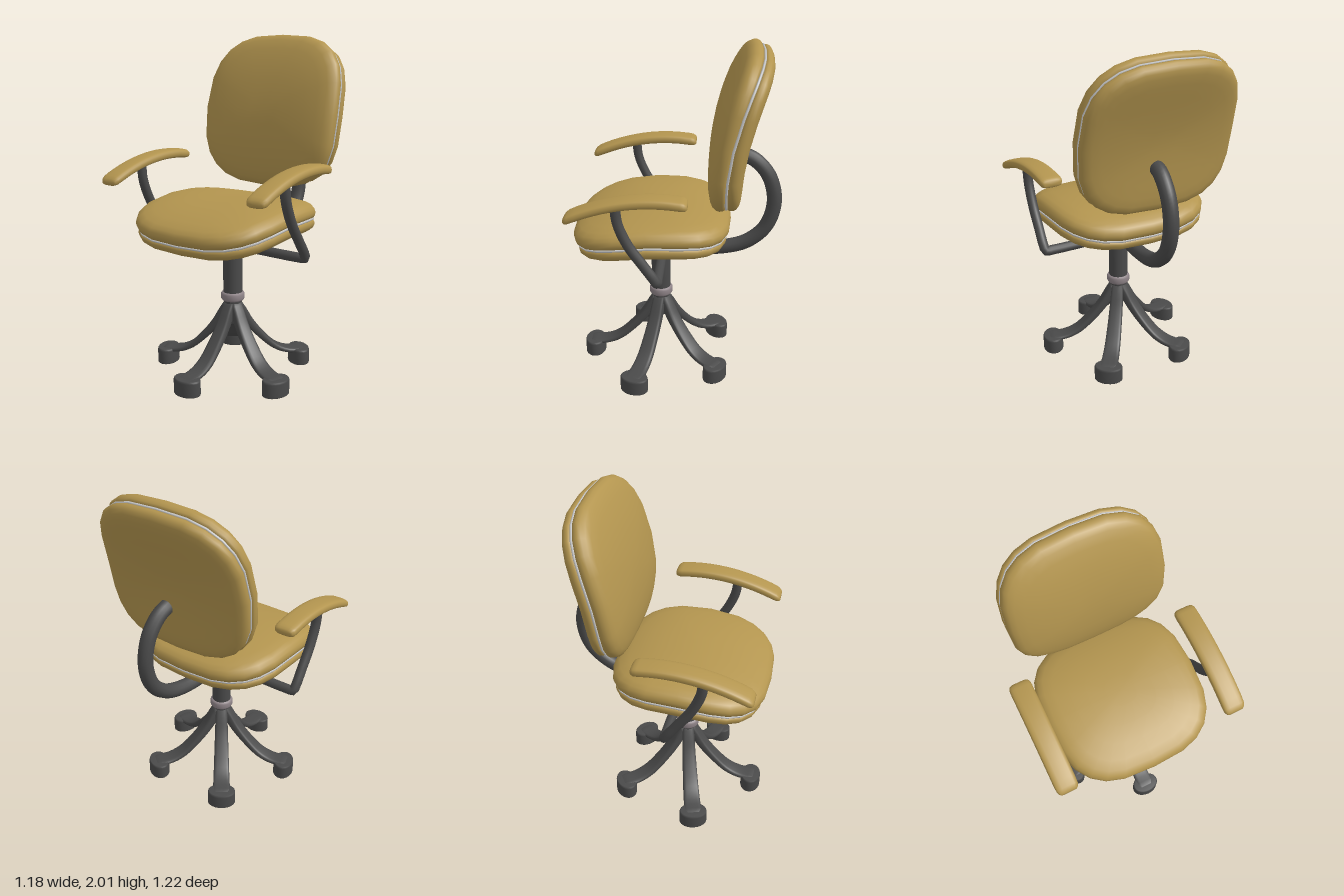
import * as THREE from 'three';

const fabric = new THREE.MeshStandardMaterial({ color: 0xb3954f });
const metal = new THREE.MeshStandardMaterial({ color: 0x4a4a4a });
const collarGrey = new THREE.MeshStandardMaterial({ color: 0x8f8488 });
const pipingGrey = new THREE.MeshStandardMaterial({ color: 0xcccccc });

const V = (x, y, z) => new THREE.Vector3(x, y, z);

function part(name, geometry, material) {
  const mesh = new THREE.Mesh(geometry, material);
  mesh.name = name;
  return mesh;
}

// Closed outline with rounded corners, counter-clockwise
function roundedOutline(halfW, halfH, power, count) {
  const bend = (t) => Math.sign(t) * Math.abs(t) ** (2 / power);
  return Array.from({ length: count }, (_, i) => {
    const a = (i / count) * Math.PI * 2;
    return [halfW * bend(Math.cos(a)), halfH * bend(Math.sin(a))];
  });
}

// Skin through rings of points, capped at both ends
function loft(rings) {
  const n = rings[0].length;
  const last = rings.length - 1;
  const mean = (ring) => ring.reduce((sum, p) => sum.add(p), V(0, 0, 0)).divideScalar(n);
  const points = [...rings.flat(), mean(rings[0]), mean(rings[last])];
  const index = [];
  for (let j = 0; j < n; j++) {
    const k = (j + 1) % n;
    for (let i = 0; i < last; i++) {
      const a = i * n + j, b = i * n + k, c = b + n, d = a + n;
      index.push(a, b, c, a, c, d);
    }
    index.push(points.length - 2, k, j, points.length - 1, last * n + j, last * n + k);
  }
  const geometry = new THREE.BufferGeometry().setFromPoints(points);
  geometry.setIndex(index);
  geometry.computeVertexNormals();
  return geometry;
}

// Cushion layer: rings of [scale, height] wrapped over a parabolic bend
function cushionLayer(profile, centreV, halfV) {
  const k = 0.36;
  const outline = roundedOutline(0.475, halfV, 3, 24);
  return loft(profile.map(([s, h]) => outline.map(([u, w]) => {
    const v = centreV + w * s;
    const normal = V(0, 2 * k * v, 1).normalize();
    return V(u * s + 0.005, v, -k * v * v).addScaledVector(normal, h);
  })));
}

const FRONT_HALF = [[0.95, 0.005], [0.985, 0.008], [0.998, 0.022], [1, 0.04], [0.985, 0.06],
  [0.95, 0.077], [0.89, 0.09], [0.78, 0.1], [0.6, 0.107], [0.4, 0.11], [0.18, 0.11]];
const BACK_HALF = FRONT_HALF.map(([s, h]) => [s, -h * 0.88]).reverse();
const PIPING = [[0.93, -0.007], [0.985, -0.007], [0.992, 0], [0.985, 0.007], [0.93, 0.007]];

function cushion(name, centreV, halfV) {
  const group = new THREE.Group();
  group.name = name;
  group.add(
    part(name + 'Face', cushionLayer(FRONT_HALF, centreV, halfV), fabric),
    part(name + 'Shell', cushionLayer(BACK_HALF, centreV, halfV), fabric),
    part(name + 'Piping', cushionLayer(PIPING, centreV, halfV), pipingGrey),
  );
  return group;
}

// Arched arm pad with softened ends
function armPad() {
  const stations = [[-0.08, 0.02], [-0.074, 0.01], [-0.06, 0.002], [-0.04, 0]];
  for (let i = 0; i <= 10; i++) stations.push([0.02 + i * 0.05, 0]);
  stations.push([0.56, 0.002], [0.577, 0.01], [0.585, 0.02]);
  return loft(stations.map(([z, inset]) =>
    roundedOutline(0.066 - inset, 0.029 - inset * 0.8, 3, 20)
      .map(([x, y]) => V(x, 1.285 - 0.48 * (z - 0.1) ** 2 + y, z))));
}

// Leg sweeping down and out along +z, flattening towards the foot
function legGeometry() {
  const path = new THREE.CatmullRomCurve3([
    V(0, 0.43, 0.015), V(0, 0.38, 0.05), V(0, 0.3, 0.1), V(0, 0.2, 0.185),
    V(0, 0.125, 0.27), V(0, 0.092, 0.35), V(0, 0.085, 0.45),
  ]);
  const steps = 18;
  return loft(Array.from({ length: steps + 1 }, (_, i) => {
    const f = i / steps;
    const p = path.getPointAt(f);
    const t = path.getTangentAt(f);
    const up = V(0, t.z, -t.y);
    return roundedOutline(0.037 + 0.018 * f, 0.034 - 0.022 * f, 3.5, 16)
      .map(([x, y]) => p.clone().addScaledVector(up, y).add(V(x, 0, 0)));
  }));
}

function lathe(points, sides = 24) {
  return new THREE.LatheGeometry(points.map(([r, y]) => new THREE.Vector2(r, y)), sides);
}

function tube(points, radius, segments) {
  return new THREE.TubeGeometry(
    new THREE.CatmullRomCurve3(points, false, 'centripetal'), segments, radius, 12);
}

export function createModel() {
  const model = new THREE.Group();
  model.name = 'officeChair';

  // Cushions
  const seat = cushion('seat', -0.08, 0.452);
  seat.rotation.x = -Math.PI / 2;
  seat.position.set(0, 0.975, 0.07);
  const backrest = cushion('backrest', 0.295, 0.445);
  backrest.position.set(0, 1.25, -0.28);
  model.add(seat, backrest);

  // Arm pads and the bar that carries both
  const pad = armPad();
  for (const [name, x] of [['leftArmPad', 0.522], ['rightArmPad', -0.524]]) {
    const mesh = part(name, pad, fabric);
    mesh.position.x = x;
    model.add(mesh);
  }
  const side = [[0.52, 1.27, 0.31], [0.52, 1.15, 0.298], [0.52, 1.02, 0.245], [0.52, 0.9, 0.165],
    [0.52, 0.82, 0.11], [0.512, 0.785, 0.09], [0.47, 0.782, 0.09], [0.2, 0.782, 0.09]];
  const leftHalf = side.map((p) => V(...p));
  const rightHalf = side.map(([x, y, z]) => V(-x, y, z)).reverse();
  model.add(part('armBar', tube([...leftHalf, ...rightHalf], 0.029, 120), metal));

  // Curved backrest support
  model.add(part('backSupport', tube([
    V(0.02, 0.83, 0.1), V(0.02, 0.795, 0.02), V(0.025, 0.778, -0.12), V(0.035, 0.788, -0.27),
    V(0.045, 0.835, -0.41), V(0.05, 0.94, -0.52), V(0.052, 1.1, -0.563), V(0.05, 1.25, -0.53),
    V(0.045, 1.34, -0.46), V(0.04, 1.375, -0.4), V(0.04, 1.385, -0.33),
  ], 0.044, 64), metal));

  // Five-legged base
  const base = new THREE.Group();
  base.name = 'base';
  base.position.set(0.02, 0, 0.11);
  const column = part('column', new THREE.CylinderGeometry(0.058, 0.058, 0.44, 24), metal);
  column.position.y = 0.67;
  base.add(
    column,
    part('collar', lathe([[0.05, 0.447], [0.064, 0.449], [0.071, 0.46], [0.071, 0.488],
      [0.064, 0.499], [0.05, 0.501]]), collarGrey),
    part('hub', lathe([[0, 0.3], [0.036, 0.3], [0.042, 0.31], [0.05, 0.38], [0.056, 0.46]]), metal),
  );
  const leg = legGeometry();
  const foot = lathe([[0, 0], [0.96, 0], [1, 0.004], [1, 0.082], [0.97, 0.091], [0.9, 0.096], [0, 0.096]]);
  for (let i = 0; i < 5; i++) {
    const spoke = new THREE.Group();
    spoke.name = 'spoke' + (i + 1);
    spoke.rotation.y = (i * Math.PI * 2) / 5;
    const footMesh = part('foot', foot, metal);
    footMesh.position.z = 0.43;
    footMesh.scale.set(0.086, 1, 0.063);
    spoke.add(part('leg', leg, metal), footMesh);
    base.add(spoke);
  }
  model.add(base);
  return model;
}
